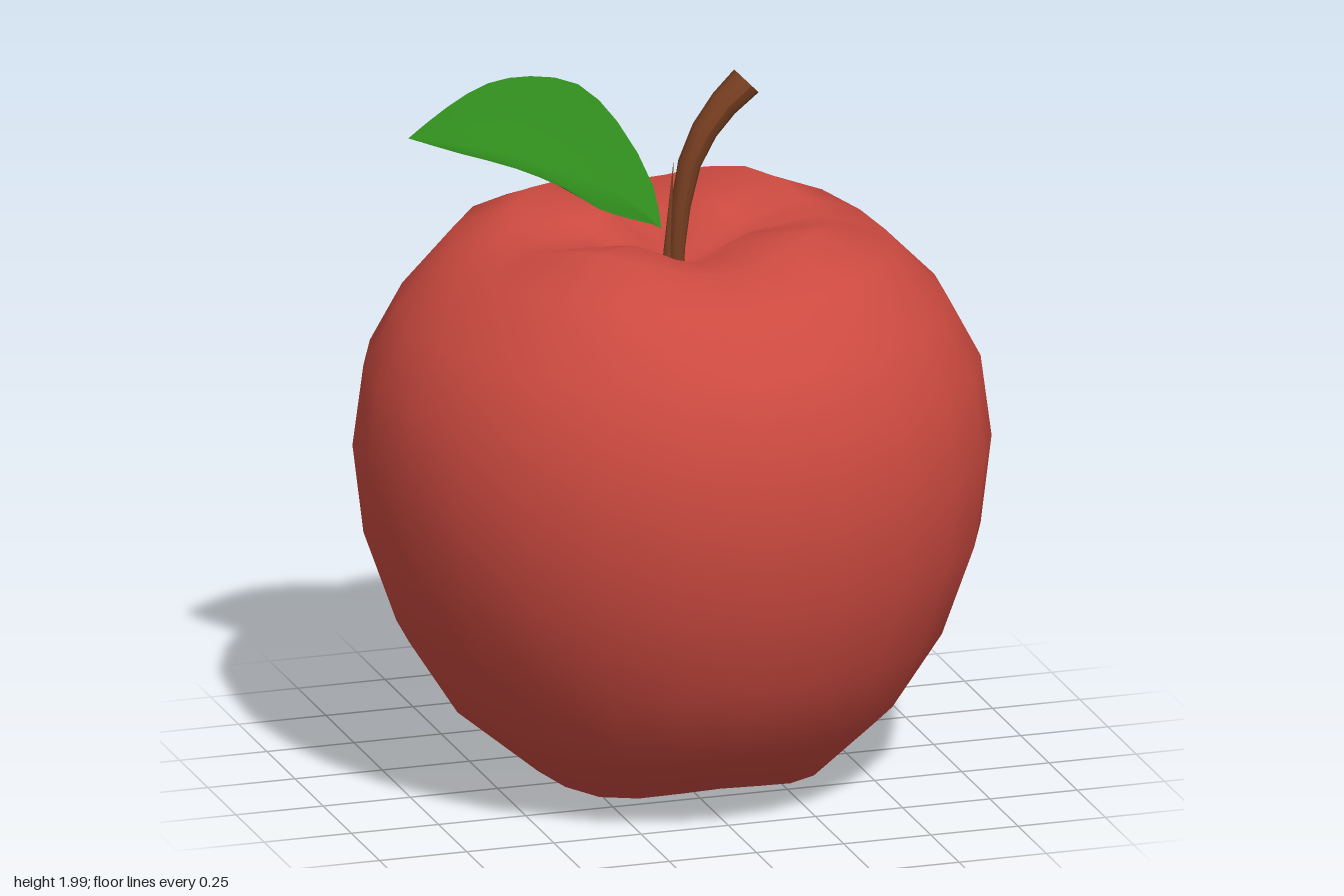
import * as THREE from 'three';
import { mergeVertices } from 'three/addons/utils/BufferGeometryUtils.js';
import { ParametricGeometry } from 'three/addons/geometries/ParametricGeometry.js';

const material = (color, side = THREE.FrontSide) => new THREE.MeshStandardMaterial({ color, side });

function addMesh(parent, name, geometry, mat) {
  const mesh = new THREE.Mesh(geometry, mat);
  mesh.name = name;
  parent.add(mesh);
  return mesh;
}

// Lathed body; each row is [radius, height on the axes, extra height on the diagonals]
function bodyGeometry() {
  const rows = [
    [0, 0.1, 0], [0.225, 0.04, -0.04], [0.435, 0.085, -0.033], [0.615, 0.23, -0.005],
    [0.753, 0.445, 0], [0.843, 0.7, 0], [0.873, 0.95, 0], [0.843, 1.18, 0],
    [0.753, 1.35, 0], [0.61, 1.495, 0.035], [0.435, 1.555, 0.055], [0.225, 1.53, 0.045], [0, 1.43, 0],
  ];
  let geometry = new THREE.LatheGeometry(rows.map(([r, y]) => new THREE.Vector2(r, y)), 24);
  const p = geometry.attributes.position;
  for (let i = 0; i < p.count; i++) {
    const angle = Math.atan2(p.getZ(i), p.getX(i));
    const lobe = (1 - Math.cos(4 * angle)) / 2;
    p.setY(i, p.getY(i) + rows[i % rows.length][2] * lobe);
  }
  geometry.deleteAttribute('uv');
  geometry.deleteAttribute('normal');
  geometry = mergeVertices(geometry);
  geometry.computeVertexNormals();
  return geometry;
}

// Cylinder bent along a curve in the xy plane, widening towards the tip
function stemGeometry() {
  const curve = new THREE.CatmullRomCurve3([
    [0.012, 1.4], [0.018, 1.56], [0.05, 1.74], [0.12, 1.87], [0.213, 1.96],
  ].map(([x, y]) => new THREE.Vector3(x, y, 0)));
  const geometry = new THREE.CylinderGeometry(1, 1, 1, 10, 6);
  const p = geometry.attributes.position;
  for (let i = 0; i < p.count; i++) {
    const t = THREE.MathUtils.clamp(p.getY(i) + 0.5, 0, 1);
    const c = curve.getPoint(t);
    const d = curve.getTangent(t);
    const r = 0.018 + 0.028 * t;
    p.setXYZ(i, c.x + d.y * p.getX(i) * r, c.y - d.x * p.getX(i) * r, p.getZ(i) * r);
  }
  geometry.computeVertexNormals();
  return geometry;
}

// Folded leaf spanned between its back edge, midrib and front edge
function leafGeometry() {
  const base = [-0.03, 1.56, 0];
  const tip = [-0.69, 1.822, -0.205];
  const line = (...points) => new THREE.CatmullRomCurve3(
    [base, ...points, tip].map((q) => new THREE.Vector3(...q)));
  const back = line([-0.03, 1.66, -0.075], [-0.1, 1.82, -0.175], [-0.2, 1.925, -0.215],
    [-0.33, 1.955, -0.235], [-0.45, 1.945, -0.24], [-0.57, 1.895, -0.225]);
  const midrib = line([-0.1, 1.63, -0.03], [-0.19, 1.69, -0.05], [-0.3, 1.74, -0.07],
    [-0.4, 1.775, -0.09], [-0.5, 1.8, -0.12], [-0.6, 1.815, -0.165]);
  const front = line([-0.08, 1.6, 0.07], [-0.16, 1.645, 0.145], [-0.27, 1.7, 0.19],
    [-0.37, 1.77, 0.19], [-0.49, 1.82, 0.13], [-0.61, 1.835, 0]);
  const geometry = new ParametricGeometry((u, v, target) => {
    const across = new THREE.CatmullRomCurve3([back.getPoint(u), midrib.getPoint(u), front.getPoint(u)]);
    across.getPoint(v, target);
  }, 14, 6);
  geometry.computeVertexNormals();
  return geometry;
}

export function createModel() {
  const group = new THREE.Group();
  group.name = 'apple';
  const brown = material(0x7a4022);

  addMesh(group, 'body', bodyGeometry(), material(0xcc4a40));
  addMesh(group, 'stem', stemGeometry(), brown);

  // Short pointed stalk where the leaf joins the stem
  const stalk = addMesh(group, 'leafStalk', new THREE.ConeGeometry(0.016, 0.33, 6), brown);
  stalk.position.set(-0.006, 1.585, 0);
  stalk.rotation.z = -0.06;

  addMesh(group, 'leaf', leafGeometry(), material(0x2f8a1c, THREE.DoubleSide));
  return group;
}
